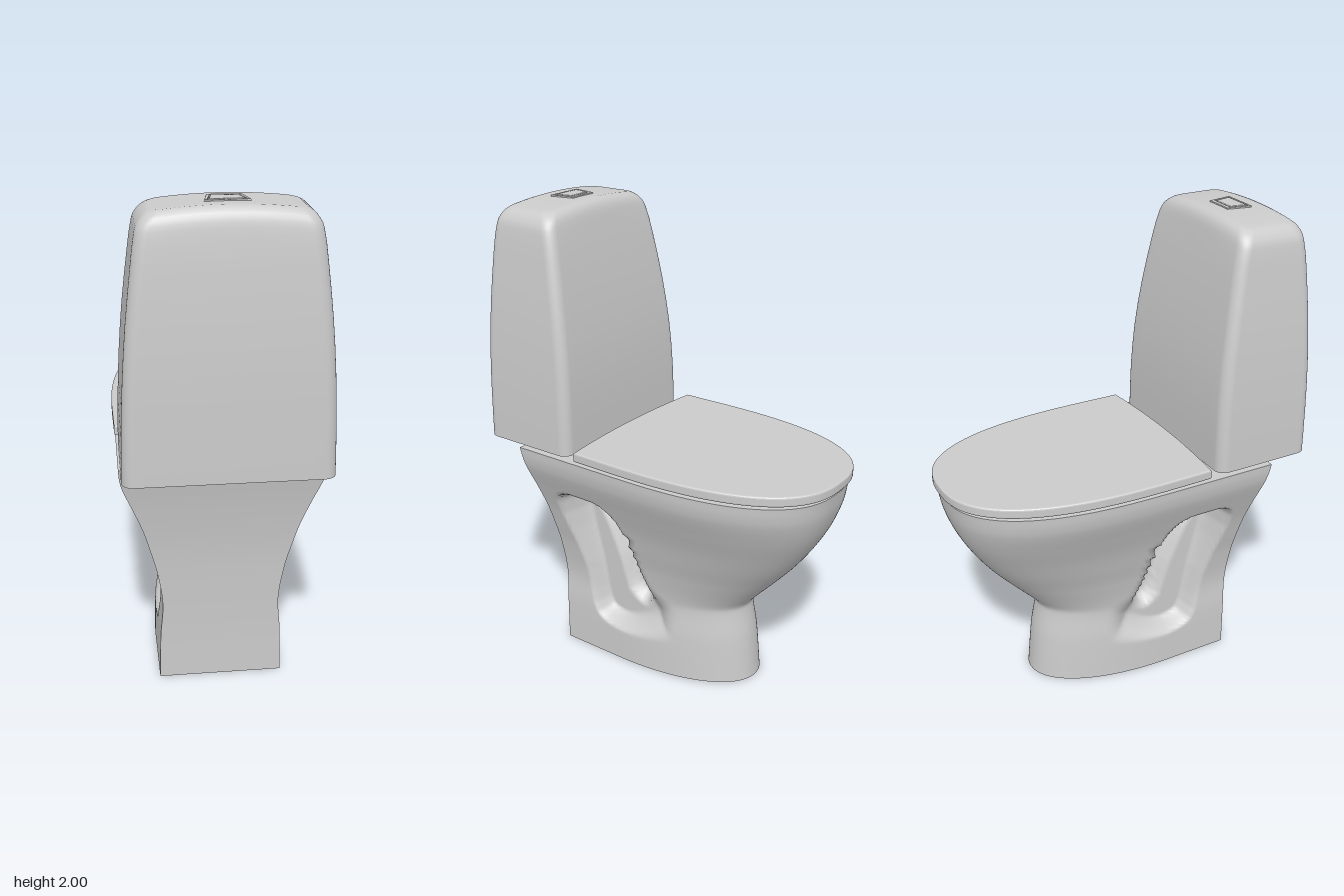
import * as THREE from 'three';
import { mergeVertices } from 'three/addons/utils/BufferGeometryUtils.js';

const material = new THREE.MeshStandardMaterial({ color: 0xcccccc, roughness: 0.5 });
const { smoothstep, lerp, clamp } = THREE.MathUtils;

// Smooth curve through [y, value] pairs
function profile(points) {
  const slope = (i) => {
    const a = points[Math.max(i - 1, 0)], b = points[Math.min(i + 1, points.length - 1)];
    return (b[1] - a[1]) / (b[0] - a[0]);
  };
  return (y) => {
    let i = 0;
    while (i < points.length - 2 && y > points[i + 1][0]) i++;
    const [y0, v0] = points[i], [y1, v1] = points[i + 1];
    const h = y1 - y0, t = (y - y0) / h, u = 1 - t;
    return v0 * u * u * (1 + 2 * t) + v1 * t * t * (3 - 2 * t) + h * (slope(i) * t * u * u - slope(i + 1) * t * t * u);
  };
}

// Skin over rows of [x, y, z] points
function loft(rows) {
  const n = rows[0].length, index = [];
  for (let i = 0; i < rows.length - 1; i++) {
    for (let j = 0; j < n - 1; j++) {
      const a = i * n + j, c = a + n;
      index.push(a, a + 1, c, a + 1, c + 1, c);
    }
  }
  let g = new THREE.BufferGeometry();
  g.setAttribute('position', new THREE.Float32BufferAttribute(rows.flat(2), 3));
  g.setIndex(index);
  g = mergeVertices(g, 1e-5);
  g.computeVertexNormals();
  return g;
}

function add(parent, name, geometry) {
  const mesh = new THREE.Mesh(geometry, material);
  mesh.name = name;
  parent.add(mesh);
}

// Distance inside a closed outline, negative outside
function insideDistance(poly, z, y) {
  let best = Infinity, inside = false;
  poly.forEach((a, i) => {
    const b = poly[(i + 1) % poly.length];
    const dz = b.x - a.x, dy = b.y - a.y;
    const t = clamp(((z - a.x) * dz + (y - a.y) * dy) / (dz * dz + dy * dy), 0, 1);
    best = Math.min(best, Math.hypot(z - a.x - t * dz, y - a.y - t * dy));
    if ((a.y > y) !== (b.y > y) && z < a.x + dz * (y - a.y) / dy) inside = !inside;
  });
  return inside ? best : -best;
}

// Closed smooth outline without the repeated end point
const outline = (pts) => new THREE.CatmullRomCurve3(
  pts.map(([z, y]) => new THREE.Vector3(z, y, 0)), true, 'centripetal').getPoints(48).slice(1);

// Side recess, and the deeper hollow beside the trapway
const recess = outline([[0.43, 0.74], [0.4, 0.795], [0.28, 0.815], [0.16, 0.79], [0.1, 0.66], [0.0, 0.42],
  [-0.1, 0.34], [-0.1, 0.18], [0, 0.148], [0.22, 0.15], [0.3, 0.19], [0.36, 0.42]]);
const hollow = outline([[0.41, 0.75], [0.37, 0.785], [0.24, 0.8], [0.14, 0.76], [0.06, 0.5], [0.03, 0.35],
  [0.09, 0.265], [0.16, 0.31], [0.23, 0.49], [0.32, 0.67]]);

// Pedestal and bowl: D-shaped sections with a flat back
function createBody() {
  const group = new THREE.Group();
  group.name = 'bowlAndPedestal';
  const back = profile([[0, 0.47], [0.2, 0.472], [0.4, 0.48], [0.6, 0.495], [0.8, 0.525], [0.992, 0.565]]);
  const front = profile([[0, -0.39], [0.2, -0.37], [0.33, -0.348], [0.355, -0.35], [0.4, -0.385], [0.5, -0.475],
    [0.6, -0.56], [0.7, -0.63], [0.8, -0.685], [0.9, -0.72], [0.992, -0.735]]);
  const width = profile([[0, 0.25], [0.2, 0.245], [0.35, 0.235], [0.5, 0.255], [0.6, 0.28], [0.7, 0.308],
    [0.8, 0.345], [0.9, 0.384], [0.95, 0.395], [0.992, 0.398]]);
  const rows = [], H = 0.992, N = 100, straight = 32, arc = 44;
  for (let i = 0; i <= N; i++) {
    const y = H * i / N, w = width(y), zb = back(y), zf = front(y);
    const k = smoothstep(y, 0.3, 0.95), zc = lerp(0.18, 0.05, k), power = 2 / lerp(2.1, 2.5, k);
    const half = [];
    for (let j = 0; j < straight; j++) half.push([w, y, lerp(zb, zc, j / straight)]);
    for (let j = 0; j <= arc; j++) {
      const a = Math.PI / 2 * j / arc;
      half.push([j === arc ? 0 : w * Math.cos(a) ** power, y, zc - (zc - zf) * Math.sin(a) ** power]);
    }
    // Press the recess and hollow into the side wall
    for (const p of half) {
      const z = p[2];
      if (y < 0.12 || y > 0.84 || z < -0.2) continue;
      const soft = 0.05 + 0.12 * (1 - smoothstep(z, -0.1, 0.2));
      const f = smoothstep(insideDistance(recess, z, y), 0, soft);
      const d = smoothstep(insideDistance(hollow, z, y), -0.005, 0.045);
      p[0] = lerp(p[0], Math.min(p[0], 0.165), f);
      p[0] = lerp(p[0], Math.min(p[0], 0.11), d);
    }
    rows.push([...half, ...half.slice(0, -1).reverse().map(([x, yy, z]) => [-x, yy, z])]);
  }
  const top = rows[N], bottom = rows[0];
  add(group, 'bowlShell', loft(rows));
  add(group, 'backPanel', loft(rows.map((r) => [r[r.length - 1], r[0]])));
  add(group, 'rimTop', loft([top, top.map(() => [0, H, back(H)])]));
  add(group, 'baseUnderside', loft([bottom.map(() => [0, 0, back(0)]), bottom]));
  return group;
}

// Tapered cistern with rounded corners and a gently domed top
function createTank() {
  const group = new THREE.Group();
  group.name = 'tank';
  const levels = [1.006, 1.1, 1.2, 1.3, 1.4, 1.5, 1.6, 1.7, 1.8, 1.86, 1.9, 1.925, 1.945, 1.96, 1.972, 1.981, 1.987, 1.99];
  const width = profile([[1, 0.391], [1.2, 0.386], [1.4, 0.376], [1.6, 0.36], [1.8, 0.337], [1.9, 0.324],
    [1.945, 0.316], [1.972, 0.301], [1.984, 0.287], [1.99, 0.268]]);
  const front = profile([[1, 0.31], [1.2, 0.312], [1.4, 0.323], [1.6, 0.347], [1.8, 0.38], [1.9, 0.4],
    [1.95, 0.411], [1.975, 0.423], [1.985, 0.435], [1.99, 0.452]]);
  const back = profile([[1, 0.747], [1.2, 0.747], [1.4, 0.745], [1.6, 0.737], [1.8, 0.724], [1.9, 0.714],
    [1.95, 0.706], [1.975, 0.694], [1.985, 0.682], [1.99, 0.664]]);
  const dome = (x, y) => y - 0.022 * (x / 0.3) ** 2 * smoothstep(y, 1.85, 1.985) + 0.004 * smoothstep(y, 1.98, 1.99);
  const ring = (y, s = 1) => {
    const w = width(y) * s, zm = (front(y) + back(y)) / 2, d = (back(y) - front(y)) / 2 * s, r = 0.045 * s;
    const pts = [];
    // Corners run back right, front right, front left, back left
    [[1, 1], [1, -1], [-1, -1], [-1, 1]].forEach(([sx, sz], c) => {
      for (let k = 0; k <= 8; k++) {
        const a = Math.PI / 2 * (1 - c - k / 8);
        pts.push([sx * (w - r) + r * Math.cos(a), zm + sz * (d - r) + r * Math.sin(a)]);
      }
      // Extra points across the long sides carry the dome
      if (c % 2 === 1) for (let k = 1; k < 16; k++) pts.push([sx * (w - r) * (1 - k / 8), zm + sz * d]);
    });
    pts.push(pts[0]);
    return pts.map(([x, z]) => [x, dome(x, y), z]);
  };
  const rows = levels.map((y) => ring(y));
  [0.85, 0.6, 0.3, 0].forEach((s) => rows.push(ring(1.99, s)));
  add(group, 'tankShell', loft(rows));
  add(group, 'tankUnderside', loft([rows[0].map(() => [0, 1.006, 0.53]), rows[0]]));
  return group;
}

// Horizontal plate from a plan shape drawn in (x, -z)
function plate(shape, y, height, bevel) {
  const g = new THREE.ExtrudeGeometry(shape, {
    depth: height - 2 * bevel, bevelThickness: bevel, bevelSize: bevel, bevelOffset: -bevel, bevelSegments: 3, curveSegments: 24,
  });
  return g.rotateX(-Math.PI / 2).translate(0, y + bevel, 0);
}

// Seat lid: blunt oval front, slightly bowed rear edge
function createLid() {
  const shape = new THREE.Shape();
  shape.moveTo(0.402, -0.262);
  for (let j = 0; j <= 72; j++) {
    const a = Math.PI * j / 72, c = Math.cos(a);
    shape.lineTo(0.405 * Math.sign(c) * Math.abs(c) ** 0.8, -0.05 + 0.8 * Math.abs(Math.sin(a)) ** 0.8);
  }
  shape.lineTo(-0.402, -0.262);
  shape.quadraticCurveTo(0, -0.31, 0.402, -0.262);
  return plate(shape, 1.006, 0.042, 0.008);
}

function trapezoid(zFront, zBack, halfFront, halfBack) {
  return new THREE.Shape([[-halfBack, -zBack], [halfBack, -zBack], [halfFront, -zFront], [-halfFront, -zFront]]
    .map(([x, y]) => new THREE.Vector2(x, y)));
}

export function createModel() {
  const model = new THREE.Group();
  model.name = 'toilet';
  model.add(createBody(), createTank());
  add(model, 'seatLid', createLid());

  // Flush button in its raised surround
  const surround = trapezoid(0.503, 0.607, 0.062, 0.08);
  surround.holes.push(trapezoid(0.521, 0.598, 0.053, 0.069));
  add(model, 'buttonSurround', plate(surround, 1.985, 0.014, 0.002));
  add(model, 'flushButton', plate(trapezoid(0.525, 0.594, 0.049, 0.064), 1.985, 0.015, 0.003));
  return model;
}
